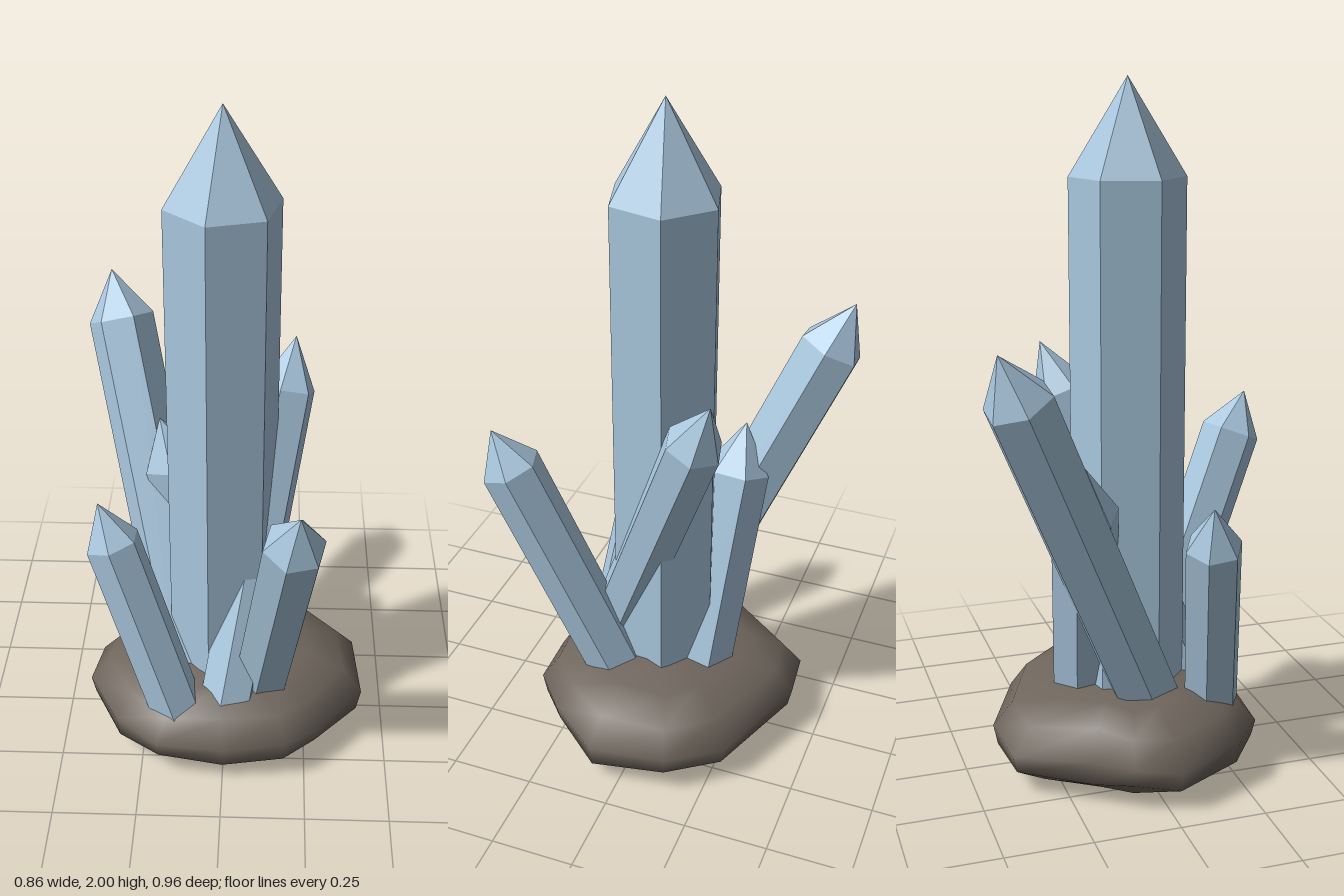
import * as THREE from 'three';
import { mergeGeometries } from 'three/addons/utils/BufferGeometryUtils.js';

const crystalMat = new THREE.MeshStandardMaterial({ color: 0xa9c7de });
crystalMat.name = 'pale blue crystal';
const rockMat = new THREE.MeshStandardMaterial({ color: 0x6f665d });
rockMat.name = 'brown rock';

// Six-sided prism with a pointed end, running from base to tip
function crystal(name, base, tip, radius, point, phaseDeg) {
  const from = new THREE.Vector3(...base);
  const axis = new THREE.Vector3(...tip).sub(from);
  const length = axis.length();
  const body = length - point;
  const phase = THREE.MathUtils.degToRad(phaseDeg);
  const shaft = new THREE.CylinderGeometry(radius, radius, body, 6, 1, false, phase);
  shaft.translate(0, body / 2, 0);
  const cap = new THREE.ConeGeometry(radius, point, 6, 1, true, phase);
  cap.translate(0, body + point / 2, 0);
  const geometry = mergeGeometries([shaft, cap]).toNonIndexed();
  geometry.computeVertexNormals(); // flat facets
  const mesh = new THREE.Mesh(geometry, crystalMat);
  mesh.name = name;
  mesh.position.copy(from);
  mesh.quaternion.setFromUnitVectors(new THREE.Vector3(0, 1, 0), axis.normalize());
  return mesh;
}

// Flattened boulder: one uneven outline, scaled and stacked in rings
function rock() {
  const outline = [
    [-0.02, -0.42], [-0.19, -0.40], [-0.32, -0.2], [-0.40, -0.1], [-0.43, 0.03],
    [-0.33, 0.24], [-0.2, 0.34], [0, 0.355], [0.19, 0.34], [0.29, 0.25],
    [0.43, 0.08], [0.41, -0.15], [0.29, -0.295],
  ];
  const rings = [[0.008, 0.74], [0.07, 0.97], [0.13, 1], [0.205, 0.86], [0.245, 0.6]];
  const n = outline.length;
  const positions = [0, 0, 0];
  rings.forEach(([y, scale], r) => {
    outline.forEach(([x, z], i) => {
      const wobble = r === 0 ? 0 : 0.012 * Math.sin(i * 2.3 + r);
      positions.push(x * scale, y + wobble, z * scale);
    });
  });
  positions.push(0, 0.28, -0.04);
  const top = rings.length * n + 1;
  const index = [];
  for (let i = 0; i < n; i++) {
    const j = (i + 1) % n;
    index.push(0, 1 + j, 1 + i);
    for (let r = 0; r < rings.length - 1; r++) {
      const a = 1 + r * n + i, b = 1 + r * n + j;
      index.push(a, b, b + n, a, b + n, a + n);
    }
    index.push(top - n + i, top - n + j, top);
  }
  const geometry = new THREE.BufferGeometry();
  geometry.setAttribute('position', new THREE.Float32BufferAttribute(positions, 3));
  geometry.setIndex(index);
  geometry.computeVertexNormals();
  const mesh = new THREE.Mesh(geometry, rockMat);
  mesh.name = 'rockBase';
  return mesh;
}

export function createModel() {
  const model = new THREE.Group();
  model.name = 'crystalCluster';
  model.add(
    rock(),
    crystal('mainCrystal', [-0.008, 0.1, 0], [-0.008, 2, 0], 0.165, 0.27, 46),
    crystal('backRightCrystal', [-0.09, 0.12, 0.07], [-0.365, 1.33, -0.455], 0.1, 0.15, 30),
    crystal('backLeftCrystal', [0.0, 0.12, 0.22], [0.2, 1.24, -0.205], 0.087, 0.155, 45),
    crystal('frontLeftCrystal', [0.105, 0.12, 0.08], [0.212, 1.04, 0.45], 0.09, 0.13, 47),
    crystal('frontRightCrystal', [-0.125, 0.12, 0.225], [-0.365, 0.865, 0.135], 0.083, 0.13, 0),
    crystal('rearCrystal', [0.04, 0.12, -0.12], [-0.207, 0.965, -0.185], 0.098, 0.15, 0),
  );
  return model;
}
